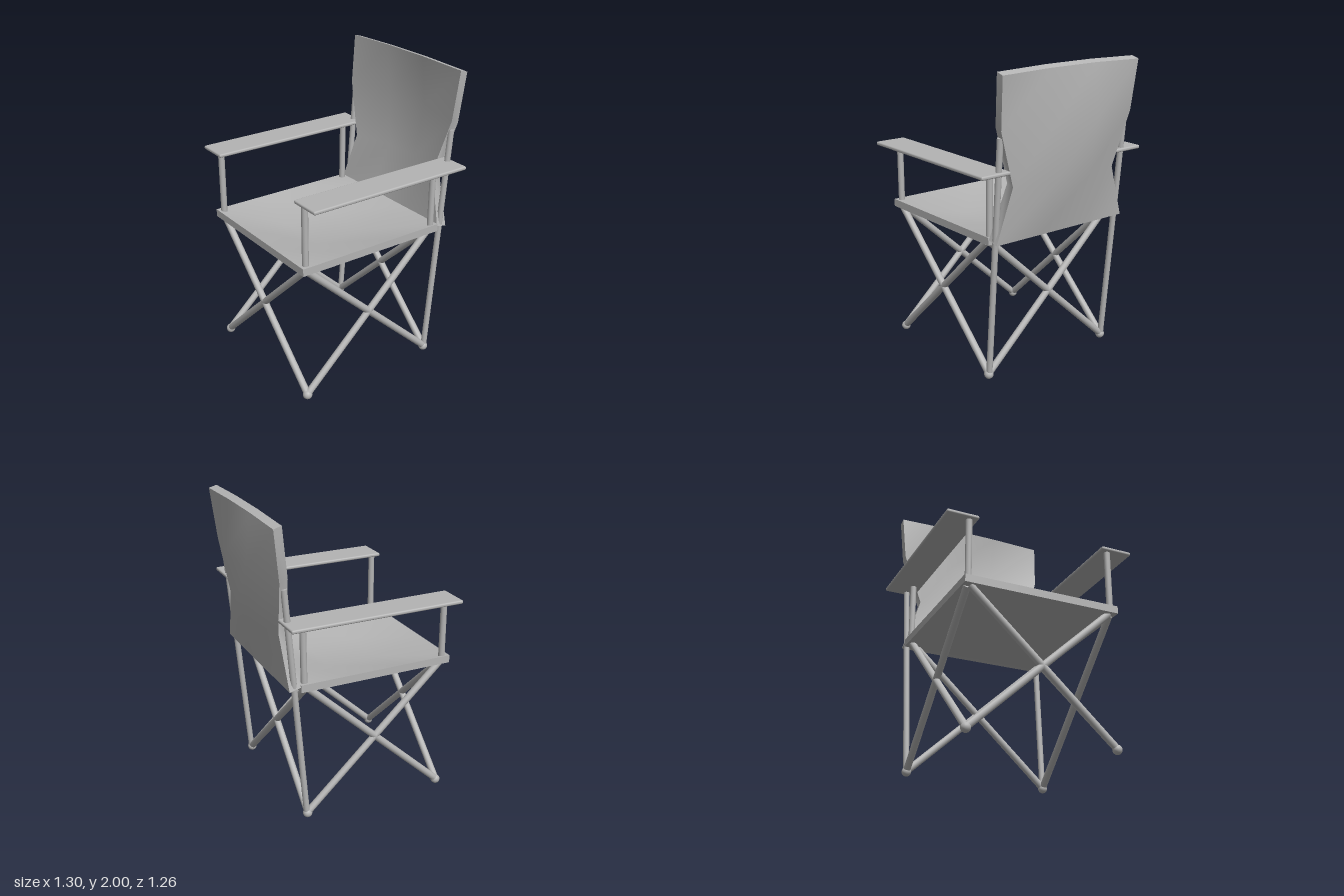
import * as THREE from 'three';
import { mergeGeometries } from 'three/addons/utils/BufferGeometryUtils.js';
import { RoundedBoxGeometry } from 'three/addons/geometries/RoundedBoxGeometry.js';

const grey = new THREE.MeshStandardMaterial({ color: 0xb4b4b4 });
grey.name = 'grey';

// Smooth grid surface from f(u, v); it faces along du x dv
function patch(f, nu, nv) {
  const pos = [], idx = [], row = nu + 1;
  for (let j = 0; j <= nv; j++) {
    for (let i = 0; i <= nu; i++) pos.push(...f(i / nu, j / nv).toArray());
  }
  for (let j = 0; j < nv; j++) {
    for (let i = 0; i < nu; i++) {
      const a = j * row + i;
      idx.push(a, a + 1, a + row + 1, a, a + row + 1, a + row);
    }
  }
  const g = new THREE.BufferGeometry();
  g.setAttribute('position', new THREE.Float32BufferAttribute(pos, 3));
  g.setIndex(idx);
  g.computeVertexNormals();
  return g;
}

// Thick cloth: two 3 x 3 surfaces joined by a hard-edged rim
function cloth(face, rear) {
  const rim = (edge) => patch((s, t) => {
    const [u, v] = edge(s);
    return rear(u, v).lerp(face(u, v), t);
  }, 3, 1);
  return mergeGeometries([
    patch(face, 3, 3),
    patch((u, v) => rear(1 - u, v), 3, 3),
    rim((s) => [s, 0]),
    rim((s) => [1 - s, 1]),
    rim((s) => [1, s]),
    rim((s) => [0, 1 - s]),
  ]);
}

// 0 on the border of the cloth, 1 at its inner grid points
const inner = (t) => Math.min(1, 3 * Math.min(t, 1 - t));
const sag = (u, v) => inner(u) * inner(v);

export function createModel() {
  const model = new THREE.Group();
  model.name = 'foldingChair';

  const add = (name, geometry, x = 0, y = 0, z = 0) => {
    const mesh = new THREE.Mesh(geometry, grey);
    mesh.name = name;
    mesh.position.set(x, y, z);
    model.add(mesh);
    return mesh;
  };
  const rod = (name, from, to, radius) => {
    const a = new THREE.Vector3(...from), b = new THREE.Vector3(...to);
    const dir = b.clone().sub(a);
    const mesh = add(name, new THREE.CylinderGeometry(radius, radius, dir.length(), 12));
    mesh.position.copy(a).add(b).multiplyScalar(0.5);
    mesh.quaternion.setFromUnitVectors(new THREE.Vector3(0, 1, 0), dir.normalize());
  };

  // Sagging seat
  const seatSide = (y) => (u, v) => new THREE.Vector3(
    (u - 0.5) * 1.05, y - 0.08 * sag(u, v), 0.63 - 1.06 * v);
  add('seat', cloth(seatSide(0.97), seatSide(0.92)));

  // Waisted backrest, bulging to the rear
  const halfWidth = [0.52, 0.41, 0.525, 0.543];
  const backSide = (ys, zs) => (u, v) => {
    const j = Math.round(v * 3);
    return new THREE.Vector3(
      (u * 2 - 1) * halfWidth[j],
      ys[j] + (j === 3 ? 0.01 * inner(u) : 0),
      zs[j] - 0.073 * sag(u, v));
  };
  add('backrest', cloth(
    backSide([0.955, 1.3, 1.665, 1.99], [-0.43, -0.469, -0.507, -0.545]),
    backSide([0.935, 1.285, 1.645, 1.975], [-0.505, -0.525, -0.56, -0.598])));

  // Frame: crossed legs on all four sides
  const X = 0.49, FRONT = 0.59, BACK = -0.38, LOW = 0.035, HIGH = 0.92, R = 0.023;
  for (const s of [1, -1]) {
    const side = s > 0 ? 'left' : 'right';
    rod('frontCrossLeg', [-s * X, LOW, FRONT], [s * 0.475, HIGH, FRONT], R);
    rod('backCrossLeg', [-s * X, LOW, BACK], [s * 0.475, HIGH, BACK], R);
    rod(side + 'CrossLeg', [s * X, LOW, FRONT], [s * X, HIGH, BACK + 0.015], R);
    rod(side + 'CrossLeg', [s * X, LOW, BACK], [s * X, HIGH, FRONT - 0.015], R);

    // Feet
    for (const z of [FRONT, BACK]) {
      add(side + 'Foot', new THREE.SphereGeometry(0.031, 16, 12), s * X, 0.031, z);
    }

    // Leaning back post, arm posts and armrest
    rod(side + 'BackPost', [s * X, LOW, -0.385], [s * 0.505, 1.6, -0.525], 0.02);
    rod(side + 'FrontArmPost', [s * X, 0.93, FRONT], [s * X, 1.38, FRONT], 0.021);
    rod(side + 'RearArmPost', [s * X, 0.93, -0.395], [s * X, 1.38, -0.402], 0.021);
    add(side + 'Armrest', new RoundedBoxGeometry(0.215, 0.024, 1.17, 2, 0.01),
      s * 0.5425, 1.381, 0.045);
  }
  return model;
}
